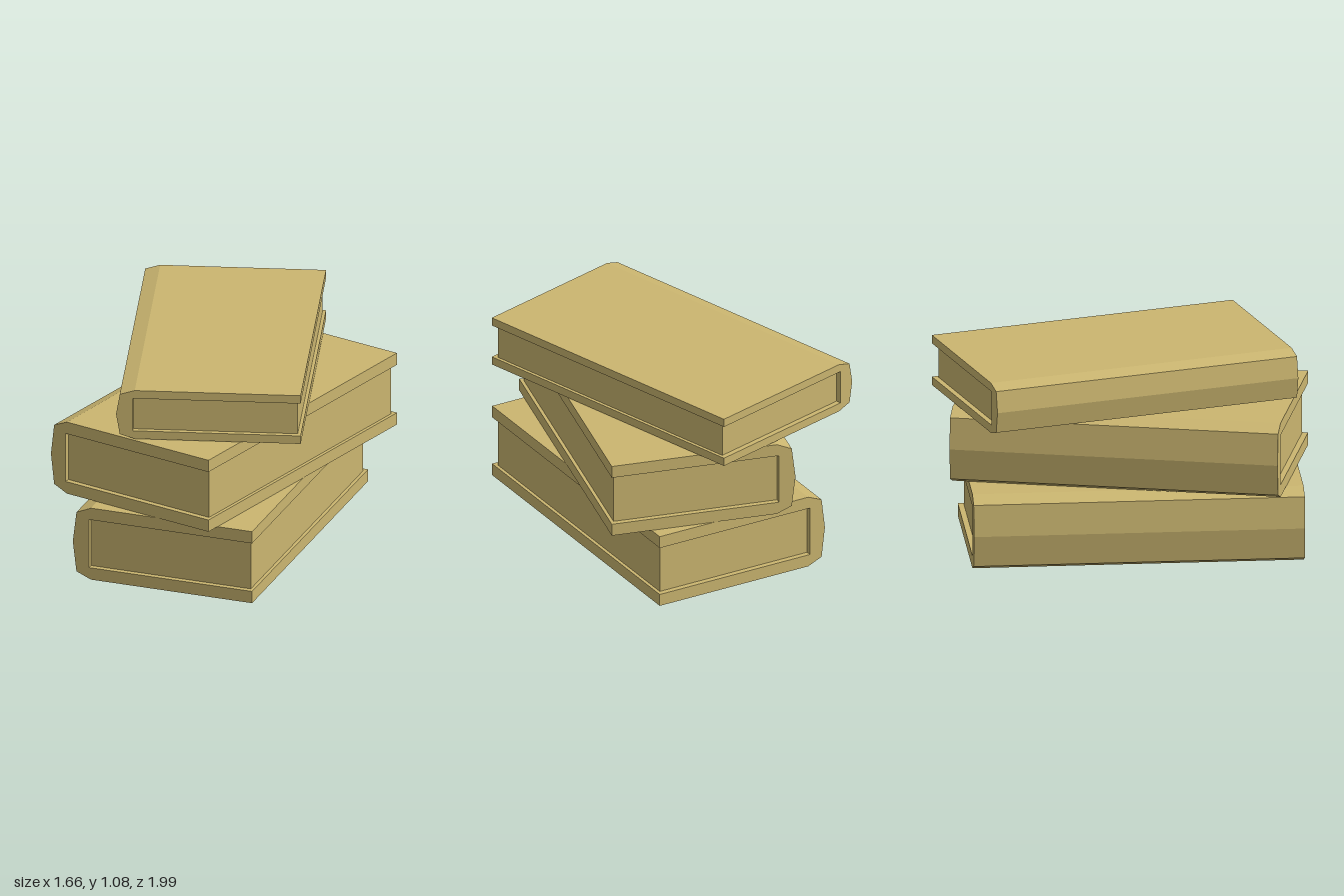
import * as THREE from 'three';

const W = 0.99, H = 0.402, L = 1.72; // size of one book before scaling
const T = 0.066; // cover board thickness

// C-shaped cover section with a faceted spine, x across and y up
function coverGeometry() {
  const r = W / 2;
  const points = [
    [r, 0], [r, T], [-r + 0.09, T], [-r + 0.09, H - T], [r, H - T], [r, H],
    [-r + 0.1, H], [-r + 0.02, H - 0.035], [-r, H / 2], [-r + 0.02, 0.035], [-r + 0.1, 0],
  ].map(([x, y]) => new THREE.Vector2(x, y));
  const geometry = new THREE.ExtrudeGeometry(new THREE.Shape(points), { depth: L, bevelEnabled: false });
  return geometry.translate(0, 0, -L / 2);
}

// Page block, set back from the three open edges
function pagesGeometry() {
  const left = -W / 2 + 0.09, right = W / 2 - 0.018;
  const geometry = new THREE.BoxGeometry(right - left, H - 2 * T, L - 0.06);
  return geometry.translate((left + right) / 2, H / 2, 0);
}

export function createModel() {
  const model = new THREE.Group();
  model.name = 'bookStack';
  const material = new THREE.MeshStandardMaterial({ color: 0xcbb670 });
  const cover = coverGeometry();
  const pages = pagesGeometry();

  // Each book: position, turn in degrees, scale in plan, scale in height
  const books = [
    { name: 'bottomBook', at: [0.05, 0, 0.038], turn: 14.1, plan: 1, tall: 1 },
    { name: 'middleBook', at: [0.061, 0.403, 0.022], turn: 0, plan: 1, tall: 1 },
    { name: 'topBook', at: [0, 0.809, -0.04], turn: 30, plan: 0.968, tall: 0.674 },
  ];
  for (const { name, at, turn, plan, tall } of books) {
    const book = new THREE.Group();
    book.name = name;
    for (const [part, geometry] of [['cover', cover], ['pages', pages]]) {
      const mesh = new THREE.Mesh(geometry, material);
      mesh.name = part;
      book.add(mesh);
    }
    book.position.set(...at);
    book.rotation.y = THREE.MathUtils.degToRad(turn);
    book.scale.set(plan, tall, plan);
    model.add(book);
  }
  return model;
}
